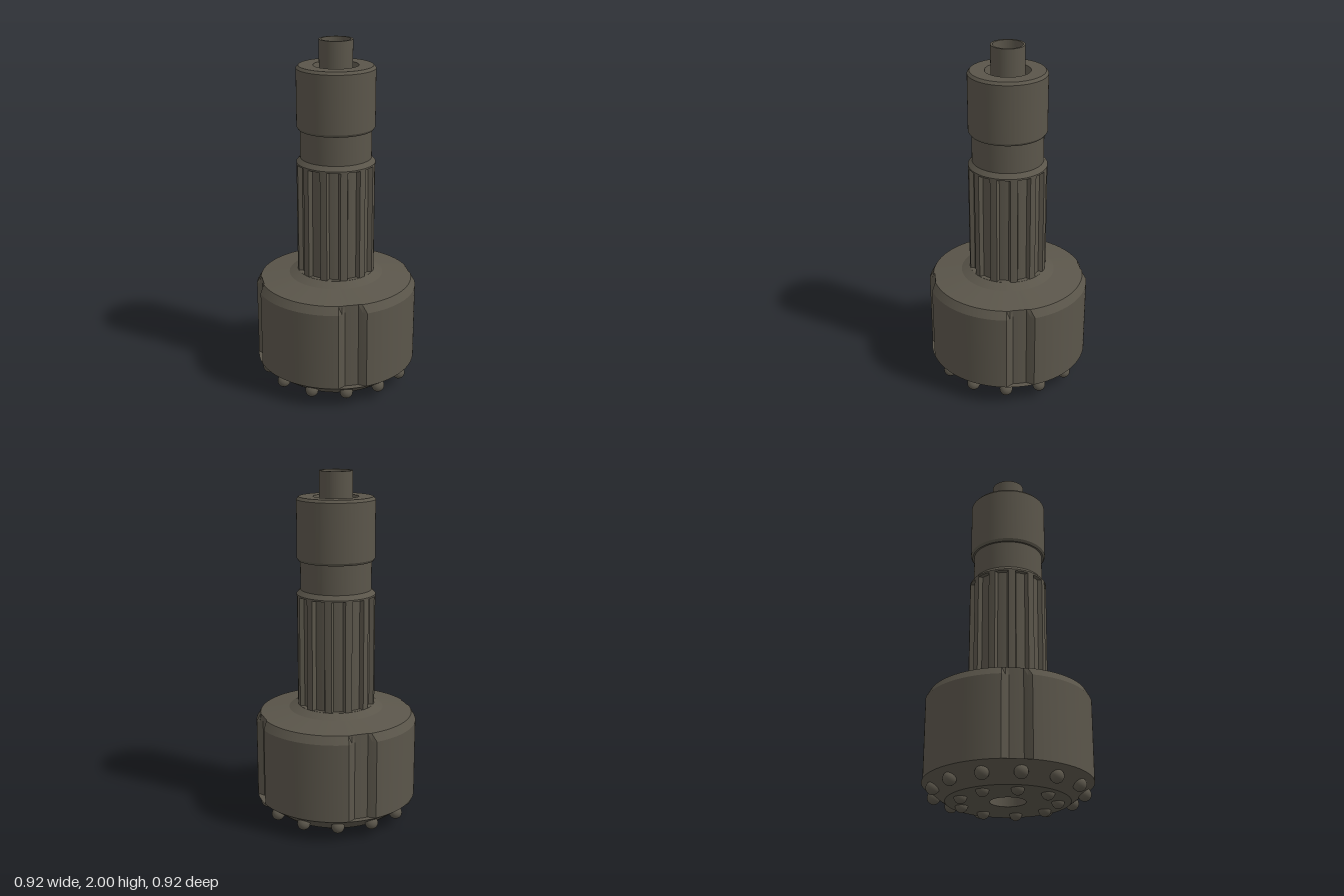
import * as THREE from 'three';
import { toCreasedNormals } from 'three/addons/utils/BufferGeometryUtils.js';

const steel = new THREE.MeshStandardMaterial({ color: 0x5a554a });
steel.name = 'dark steel';

// Revolved part; limit(angle, y) optionally caps the radius to carve flutes.
function turned(name, profile, limit) {
  let g = new THREE.LatheGeometry(profile.map(([r, y]) => new THREE.Vector2(r, y)), 144);
  if (limit) {
    const p = g.attributes.position;
    for (let i = 0; i < p.count; i++) {
      const x = p.getX(i), y = p.getY(i), z = p.getZ(i);
      const k = Math.min(1, limit(Math.atan2(x, z), y) / Math.hypot(x, z));
      p.setXYZ(i, x * k, y, z * k);
    }
  }
  g = toCreasedNormals(g, 0.3);
  const m = new THREE.Mesh(g, steel);
  m.name = name;
  return m;
}

// Trapezoid flute: count flutes, first one centred at offset degrees.
function flutes(count, offset, rOut, depth, floor, edge, y0, y1) {
  const step = 360 / count;
  return (angle, y) => {
    if (y < y0 || y > y1) return Infinity;
    const a = THREE.MathUtils.radToDeg(angle) - offset;
    const d = Math.abs(a - step * Math.round(a / step));
    if (d > edge - 0.01) return Infinity;
    return rOut - depth * Math.min(1, (edge - d) / (edge - floor));
  };
}

// Ring of hemispherical cutting buttons.
function buttonRing(name, count, radius, y, size) {
  const ring = new THREE.Group();
  ring.name = name;
  const g = new THREE.SphereGeometry(size, 20, 14);
  for (let i = 0; i < count; i++) {
    const a = (i + (count === 13 ? 0.5 : 0)) * Math.PI * 2 / count;
    const b = new THREE.Mesh(g, steel);
    b.name = 'button';
    b.position.set(radius * Math.sin(a), y, radius * Math.cos(a));
    ring.add(b);
  }
  return ring;
}

export function createModel() {
  const model = new THREE.Group();
  model.name = 'drillBit';
  const bore = 0.097;

  // Head with flat face, bevelled gauge and four side grooves
  model.add(turned('head', [
    [bore, 0.035], [0.335, 0.035], [0.462, 0.13], [0.462, 0.1305],
    [0.462, 0.58], [0.437, 0.625], [0.27, 0.652], [0.22, 0.68],
  ], flutes(4, 45, 0.462, 0.032, 5, 10, 0.1302, 0.64)));

  // Splined shank ending in a bevelled ring
  model.add(turned('splinedShank', [
    [0.222, 0.665], [0.222, 0.68], [0.222, 0.6805], [0.222, 1.31],
    [0.222, 1.3105], [0.222, 1.32], [0.2, 1.345],
  ], flutes(12, 0, 0.222, 0.024, 7.5, 10, 0.6802, 1.3102)));

  // Neck and upper collar with countersunk mouth
  model.add(turned('neck', [[0.2, 1.34], [0.2, 1.515]]));
  model.add(turned('collar', [
    [0.2, 1.508], [0.21, 1.508], [0.219, 1.522], [0.219, 1.845],
    [0.206, 1.86], [0.125, 1.86], [bore, 1.76],
  ]));

  // Flushing bore through the full length
  model.add(turned('bore', [[bore, 1.76], [bore, 0.035]]));

  // Thin tube standing in the bore
  model.add(turned('footValveTube', [
    [0.081, 1.6], [0.093, 1.6], [0.093, 2], [0.081, 2], [0.081, 1.6],
  ]));

  // Cutting buttons
  model.add(buttonRing('gaugeButtons', 13, 0.408, 0.08, 0.037));
  model.add(buttonRing('faceButtons', 9, 0.265, 0.035, 0.035));
  return model;
}
